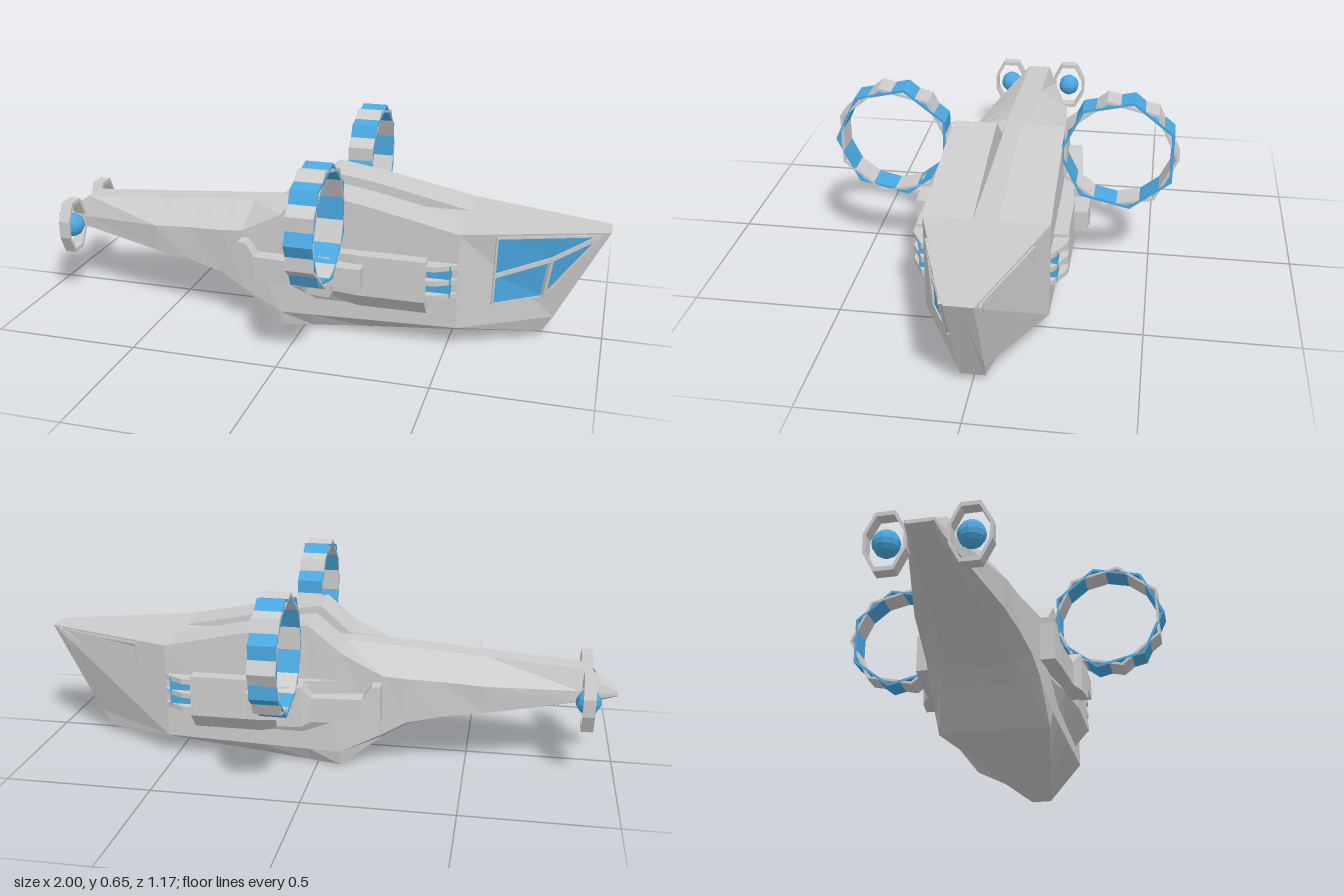
import * as THREE from 'three';

const grey = new THREE.MeshStandardMaterial({ color: 0xcccccc, flatShading: true, side: THREE.DoubleSide });
const blue = new THREE.MeshStandardMaterial({ color: 0x4aa8e0, flatShading: true, side: THREE.DoubleSide });

function add(parent, name, geometry, material = grey) {
  const mesh = new THREE.Mesh(geometry, material);
  mesh.name = name;
  parent.add(mesh);
  return mesh;
}

function box(parent, name, [x0, x1], [y0, y1], [z0, z1], material) {
  const mesh = add(parent, name, new THREE.BoxGeometry(x1 - x0, y1 - y0, z1 - z0), material);
  mesh.position.set((x0 + x1) / 2, (y0 + y1) / 2, (z0 + z1) / 2);
  return mesh;
}

function fromTriangles(triangles) {
  const geometry = new THREE.BufferGeometry().setFromPoints(triangles.flat().map(p => new THREE.Vector3(...p)));
  geometry.computeVertexNormals();
  return geometry;
}

// Loft closed rings of points, with end caps
function loft(rings) {
  const tris = [], n = rings[0].length;
  for (let i = 0; i < rings.length - 1; i++) {
    for (let j = 0; j < n; j++) {
      const k = (j + 1) % n;
      const a = rings[i][j], b = rings[i + 1][j], c = rings[i + 1][k], d = rings[i][k];
      tris.push([a, d, c], [a, c, b]);
    }
  }
  const first = rings[0], last = rings[rings.length - 1];
  for (let j = 1; j < n - 1; j++) {
    tris.push([last[0], last[j], last[j + 1]], [first[0], first[j + 1], first[j]]);
  }
  return fromTriangles(tris);
}

// One hull ring: channel, ridge, shoulder, chine and keel, mirrored in z
function hullRing([x, channelY, ridgeY, shoulderZ, shoulderY, chineZ, chineY, keelZ, keelY, chineX = x, keelX = x]) {
  const half = [
    [x, channelY, 0], [x, channelY, 0.04], [x, ridgeY, 0.042], [x, shoulderY, shoulderZ],
    [chineX, chineY, chineZ], [keelX, keelY, keelZ], [keelX, keelY, 0],
  ];
  return [...half, ...half.slice(1, -1).reverse().map(([px, py, pz]) => [px, py, -pz])];
}

// Polygonal band around the x axis, outline given as [z, y]
function band(outline, inner, width) {
  const shape = new THREE.Shape(outline.map(([z, y]) => new THREE.Vector2(z, y)));
  shape.holes.push(new THREE.Path(outline.map(([z, y]) => new THREE.Vector2(z * inner, y * inner))));
  const geometry = new THREE.ExtrudeGeometry(shape, { depth: width, bevelEnabled: false });
  return geometry.translate(0, 0, -width / 2).rotateY(-Math.PI / 2);
}

// Cockpit wall depth at a given x, y
const wallZ = (x, y) => Math.max(0.2 - 0.34 * (x - 0.53) + 0.175 * (y - 0.4), 0.2 - 0.525 * (x - 0.53));
const onWall = ([x, y], lift) => [x + lift * 0.4, y, wallZ(x, y) + lift];

function bar(parent, name, from, to, thickness) {
  const a = new THREE.Vector3(...onWall(from, 0.005)), b = new THREE.Vector3(...onWall(to, 0.005));
  const mesh = add(parent, name, new THREE.BoxGeometry(thickness, thickness, a.distanceTo(b) + thickness * 0.5));
  mesh.position.copy(a).add(b).multiplyScalar(0.5);
  mesh.lookAt(b);
}

// Window panes, frame, vents and weapon pod of one side
function sideParts(name) {
  const side = new THREE.Group();
  side.name = name;

  const A = [0.645, 0.388], B = [0.965, 0.39], C = [0.64, 0.25], D = [0.815, 0.305], E = [0.638, 0.148], F = [0.795, 0.165];
  const panes = [[A, C, D, B], [C, E, F, D], [D, F, B]];
  for (const pane of panes) {
    const p = pane.map(q => onWall(q, 0.004));
    const tris = [[p[0], p[1], p[2]]];
    if (p.length === 4) tris.push([p[0], p[2], p[3]]);
    add(side, 'windowPane', fromTriangles(tris), blue);
  }
  for (const [p, q] of [[C, D], [D, B], [D, F]]) bar(side, 'windowMullion', p, q, 0.014);
  for (const [p, q] of [[A, B], [B, F], [F, E], [E, A]]) bar(side, 'windowFrame', p, q, 0.007);

  // Flank fairing, widening towards the vents
  const fairing = [[-0.12, 0.19], [0.05, 0.225], [0.2, 0.25], [0.43, 0.25]].map(([x, z]) =>
    [[x, 0.31, 0.15], [x, 0.31, z - 0.004], [x, 0.17, z], [x, 0.1, 0.19], [x, 0.1, 0.15]]);
  add(side, 'flankFairing', loft(fairing));

  // Vents
  box(side, 'ventCore', [0.42, 0.51], [0.185, 0.295], [0.17, 0.222], blue);
  for (const y of [0.19, 0.24, 0.29]) {
    const fin = [[0.42, 0.25], [0.46, 0.248], [0.53, 0.208]].map(([x, z]) =>
      [[x, y + 0.009, 0.17], [x, y + 0.009, z], [x, y - 0.009, z], [x, y - 0.009, 0.17]]);
    add(side, 'ventFin', loft(fin));
  }

  // Weapon pod: rear plate, arm, shoulder block and muzzle
  const pod = [
    [-0.22, 0.18, 0.31, 0.235], [-0.19, 0.18, 0.31, 0.24], [-0.16, 0.18, 0.265, 0.245],
    [0.01, 0.18, 0.265, 0.26], [0.04, 0.17, 0.31, 0.285], [0.12, 0.17, 0.31, 0.295],
  ].map(([x, y0, y1, z]) => [[x, y1, 0.16], [x, y1, z], [x, y0, z], [x, y0, 0.16]]);
  add(side, 'weaponPod', loft(pod));
  box(side, 'podMuzzle', [0.11, 0.225], [0.21, 0.28], [0.2, 0.293]);
  return side;
}

export function createModel() {
  const model = new THREE.Group();
  model.name = 'aircraft';

  // Hull, tail to nose
  const stations = [
    [-1, 0.268, 0.268, 0.042, 0.264, 0.042, 0.26, 0.035, 0.256],
    [-0.94, 0.3, 0.3, 0.05, 0.272, 0.05, 0.25, 0.04, 0.24],
    [-0.87, 0.35, 0.35, 0.068, 0.278, 0.068, 0.24, 0.05, 0.232],
    [-0.56, 0.372, 0.372, 0.147, 0.302, 0.14, 0.205, 0.08, 0.192],
    [-0.42, 0.383, 0.383, 0.16, 0.314, 0.16, 0.19, 0.1, 0.17],
    [-0.3, 0.392, 0.392, 0.18, 0.324, 0.175, 0.165, 0.12, 0.14],
    [-0.22, 0.397, 0.397, 0.19, 0.333, 0.185, 0.12, 0.15, 0.1],
    [-0.08, 0.4, 0.407, 0.192, 0.405, 0.2, 0.052, 0.19, 0],
    [0.03, 0.4, 0.497, 0.192, 0.497, 0.2, 0.055, 0.17, 0.003],
    [0.2, 0.4, 0.47, 0.196, 0.47, 0.2, 0.06, 0.14, 0.007],
    [0.53, 0.4, 0.4, 0.2, 0.4, 0.2, 0.07, 0.09, 0.014],
    [1, 0.4, 0.4, 0.043, 0.4, 0.043, 0.08, 0.038, 0.02, 0.835, 0.8],
  ];
  add(model, 'hull', loft(stations.map(hullRing)));

  for (const s of [1, -1]) {
    const side = sideParts(s > 0 ? 'leftSide' : 'rightSide');
    side.scale.z = s;
    model.add(side);

    // Lift ring: two seven-sided bands turned against each other
    const heptagon = turn => Array.from({ length: 7 }, (_, i) => {
      const angle = turn + i * Math.PI * 2 / 7;
      return [Math.cos(angle) * 0.201, Math.sin(angle) * 0.201];
    });
    add(model, 'liftRingBlue', band(heptagon(0), 0.95, 0.09), blue).position.set(0.1, 0.455, s * 0.382);
    add(model, 'liftRingGrey', band(heptagon(Math.PI), 0.95, 0.09)).position.set(0.1, 0.455, s * 0.382);

    // Tail thruster: ball in an elongated hexagonal ring
    const hexagon = [[0.03, 0.095], [-0.03, 0.095], [-0.064, 0.03], [-0.064, -0.03], [-0.03, -0.095], [0.03, -0.095], [0.064, -0.03], [0.064, 0.03]];
    add(model, 'tailRing', band(hexagon, 0.86, 0.04)).position.set(-0.9, 0.262, s * 0.123);
    add(model, 'tailBall', new THREE.SphereGeometry(0.042, 10, 8), blue).position.set(-0.9, 0.262, s * 0.123);
  }
  return model;
}
